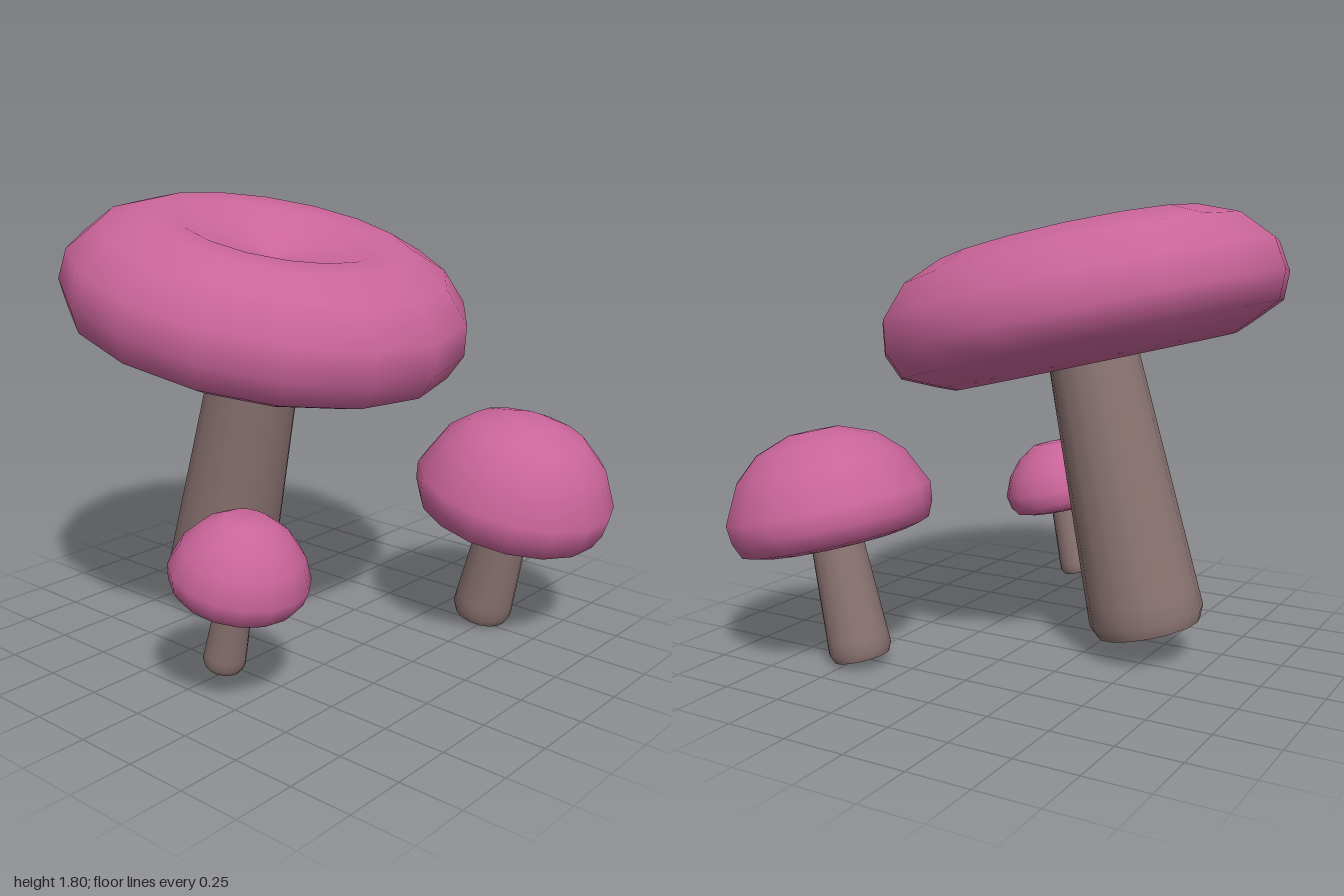
import * as THREE from 'three';

const SIDES = 16;
const TILT = 0.235; // every mushroom leans towards the front

function lathe(points) {
  return new THREE.LatheGeometry(points.map(([r, y]) => new THREE.Vector2(r, y)), SIDES);
}

// Profiles are [radius, height along the stem axis], listed from underside to crown.
const MUSHROOMS = [
  {
    name: 'largeMushroom', base: [-0.088, 0.122, -0.497], yaw: 0.07,
    stem: [[0.21, 0], [0.232, 0.05], [0.228, 0.13], [0.17, 1.35]],
    cap: [
      [0, 1.3], [0.28, 1.265], [0.49, 1.175], [0.57, 1.087], [0.638, 1.114], [0.775, 1.175],
      [0.82, 1.28], [0.803, 1.405], [0.695, 1.525], [0.54, 1.592],
      [0.4, 1.59], [0.2, 1.528], [0, 1.478],
    ],
  },
  {
    name: 'mediumMushroom', base: [0.538, 0.025, 0.465], yaw: 0.17,
    stem: [[0.11, 0], [0.125, 0.035], [0.123, 0.08], [0.095, 0.65]],
    cap: [
      [0, 0.575], [0.13, 0.565], [0.24, 0.53], [0.31, 0.475], [0.375, 0.492], [0.402, 0.555],
      [0.41, 0.628], [0.338, 0.775], [0.24, 0.865], [0.1, 0.917], [0, 0.92],
    ],
  },
  {
    name: 'smallMushroom', base: [-0.682, 0.116, 0.125], yaw: 0.05,
    stem: [[0.07, 0], [0.081, 0.022], [0.08, 0.05], [0.06, 0.42]],
    cap: [
      [0, 0.38], [0.08, 0.372], [0.14, 0.35], [0.19, 0.31], [0.23, 0.32], [0.252, 0.35],
      [0.264, 0.407], [0.23, 0.492], [0.17, 0.565], [0.09, 0.617], [0, 0.623],
    ],
  },
];

export function createModel() {
  const capPink = new THREE.MeshStandardMaterial({ name: 'capPink', color: 0xc96499 });
  const stemBrown = new THREE.MeshStandardMaterial({
    name: 'stemBrown', color: 0x8a7371, side: THREE.DoubleSide,
  });

  const model = new THREE.Group();
  model.name = 'mushroomCluster';

  for (const { name, base, yaw, stem, cap } of MUSHROOMS) {
    const mushroom = new THREE.Group();
    mushroom.name = name;
    mushroom.position.set(...base);
    mushroom.rotation.set(TILT, yaw, 0);

    // Tapered hollow stem, open at the foot, with a small bevel
    const stemMesh = new THREE.Mesh(lathe(stem), stemBrown);
    stemMesh.name = 'stem';

    // Rounded cap with a domed hollow underneath
    const capMesh = new THREE.Mesh(lathe(cap), capPink);
    capMesh.name = 'cap';

    mushroom.add(stemMesh, capMesh);
    model.add(mushroom);
  }
  return model;
}
